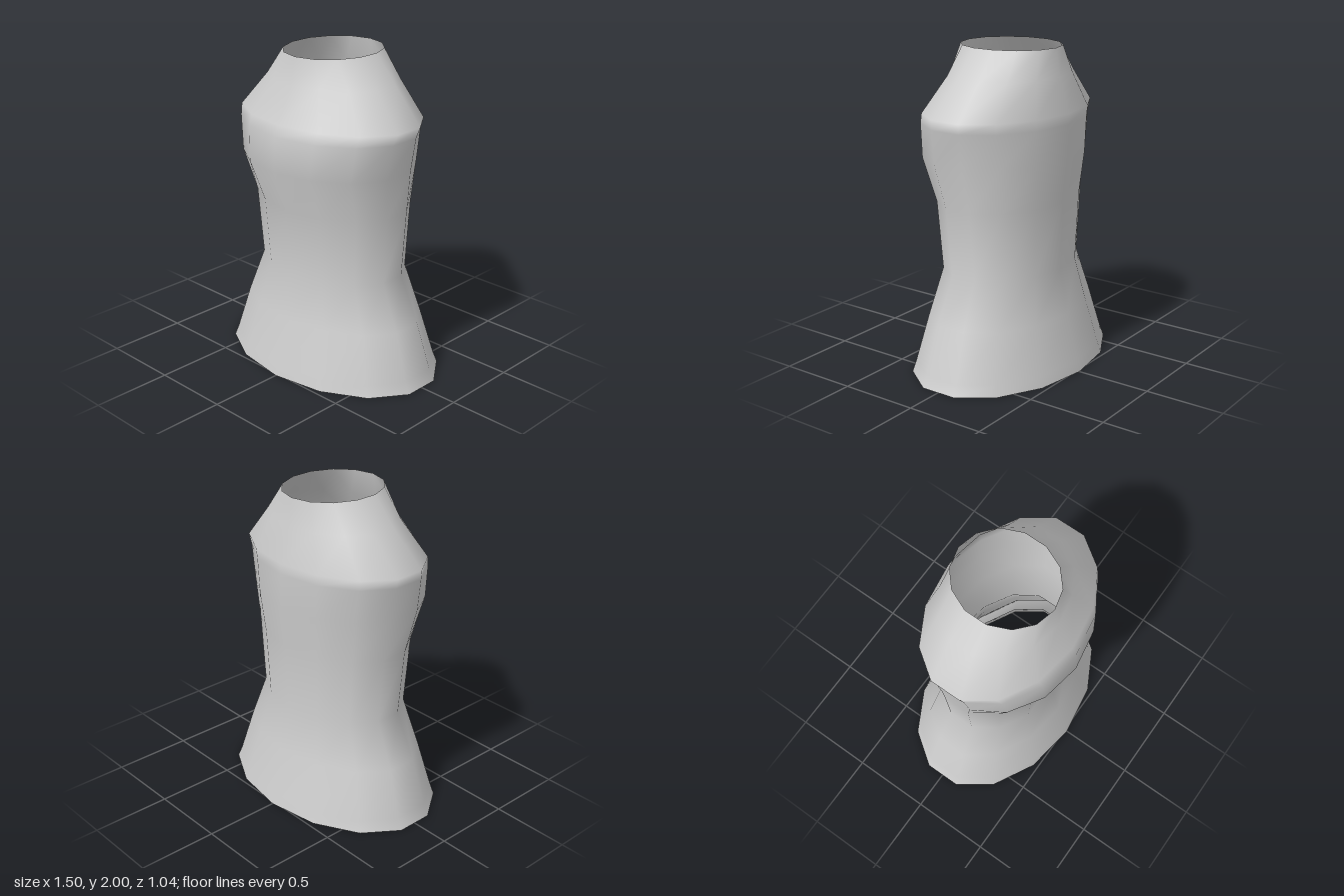
import * as THREE from 'three';

const SIDES = 14;
// A vertex pair straddles each side, so the half-width is below the radius.
const SIDE_FACTOR = Math.sin((3 * 2 * Math.PI) / SIDES);

// Lofts an open tube through oval rings: [y, halfWidth, frontZ, backZ].
function loft(rings) {
  const positions = [];
  const index = [];
  for (const [y, halfWidth, front, back] of rings) {
    const centre = (front + back) / 2;
    const depth = (front - back) / 2;
    for (let i = 0; i < SIDES; i++) {
      const a = (i / SIDES) * Math.PI * 2;
      positions.push((halfWidth / SIDE_FACTOR) * Math.sin(a), y, centre + depth * Math.cos(a));
    }
  }
  for (let r = 0; r < rings.length - 1; r++) {
    for (let i = 0; i < SIDES; i++) {
      const a = r * SIDES + i;
      const b = r * SIDES + ((i + 1) % SIDES);
      index.push(a, b, b + SIDES, a, b + SIDES, a + SIDES);
    }
  }
  const geometry = new THREE.BufferGeometry();
  geometry.setAttribute('position', new THREE.Float32BufferAttribute(positions, 3));
  geometry.setIndex(index);
  geometry.computeVertexNormals();
  return geometry;
}

export function createModel() {
  const group = new THREE.Group();
  group.name = 'torsoGarment';
  const cloth = new THREE.MeshStandardMaterial({ color: 0xcccccc, side: THREE.DoubleSide });
  cloth.name = 'light grey cloth';

  const add = (name, rings) => {
    const mesh = new THREE.Mesh(loft(rings), cloth);
    mesh.name = name;
    group.add(mesh);
  };

  // Flared skirt, waist, chest, shoulders and neck opening
  add('body', [
    [0, 0.75, 0.52, -0.52],
    [0.07, 0.715, 0.505, -0.503],
    [0.36, 0.622, 0.428, -0.424],
    [0.645, 0.495, 0.37, -0.368],
    [1.07, 0.528, 0.398, -0.382],
    [1.34, 0.568, 0.505, -0.415],
    [1.555, 0.6, 0.49, -0.415],
    [1.62, 0.62, 0.462, -0.415],
    [1.83, 0.425, 0.355, -0.35],
    [2, 0.28, 0.32, -0.32],
  ]);

  // Hem turned up inside the bottom opening
  add('innerHem', [
    [0, 0.75, 0.52, -0.52],
    [0.13, 0.595, 0.413, -0.413],
    [0.27, 0.56, 0.385, -0.385],
  ]);

  return group;
}
